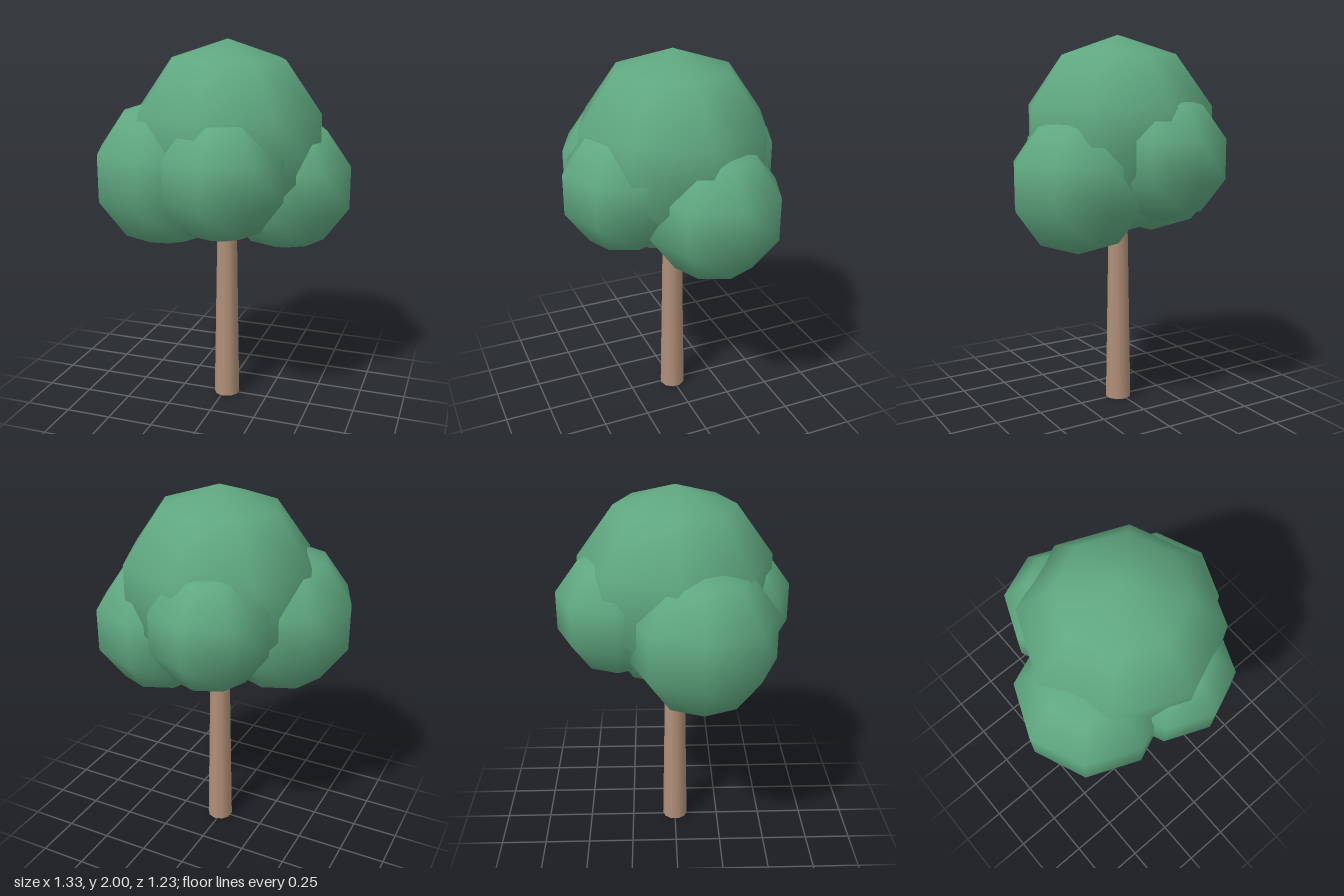
import * as THREE from 'three';

export function createModel() {
  const tree = new THREE.Group();
  tree.name = 'tree';
  const bark = new THREE.MeshStandardMaterial({ color: 0xb08f78 });
  const leaf = new THREE.MeshStandardMaterial({ color: 0x5fa880 });

  // Tapered trunk, running up into the crown
  const height = 1.2;
  const trunk = new THREE.Mesh(new THREE.CylinderGeometry(0.05, 0.071, height, 10), bark);
  trunk.name = 'trunk';
  trunk.position.set(0.013, height / 2, 0);
  tree.add(trunk);

  // Crown of coarse, smooth-shaded balls: name, radius, centre
  const crown = new THREE.Group();
  crown.name = 'crown';
  const clumps = [
    ['mainFoliage', 0.531, 0.015, 1.469, 0],
    ['rightFoliage', 0.4, -0.285, 1.305, 0.13],
    ['leftFoliage', 0.366, 0.314, 1.238, -0.103],
    ['frontFoliage', 0.338, 0.082, 1.338, 0.292],
    ['backFoliage', 0.332, -0.086, 1.373, -0.3],
  ];
  for (const [name, radius, x, y, z] of clumps) {
    const ball = new THREE.Mesh(new THREE.SphereGeometry(radius, 8, 5), leaf);
    ball.name = name;
    ball.position.set(x, y, z);
    crown.add(ball);
  }
  tree.add(crown);
  return tree;
}
